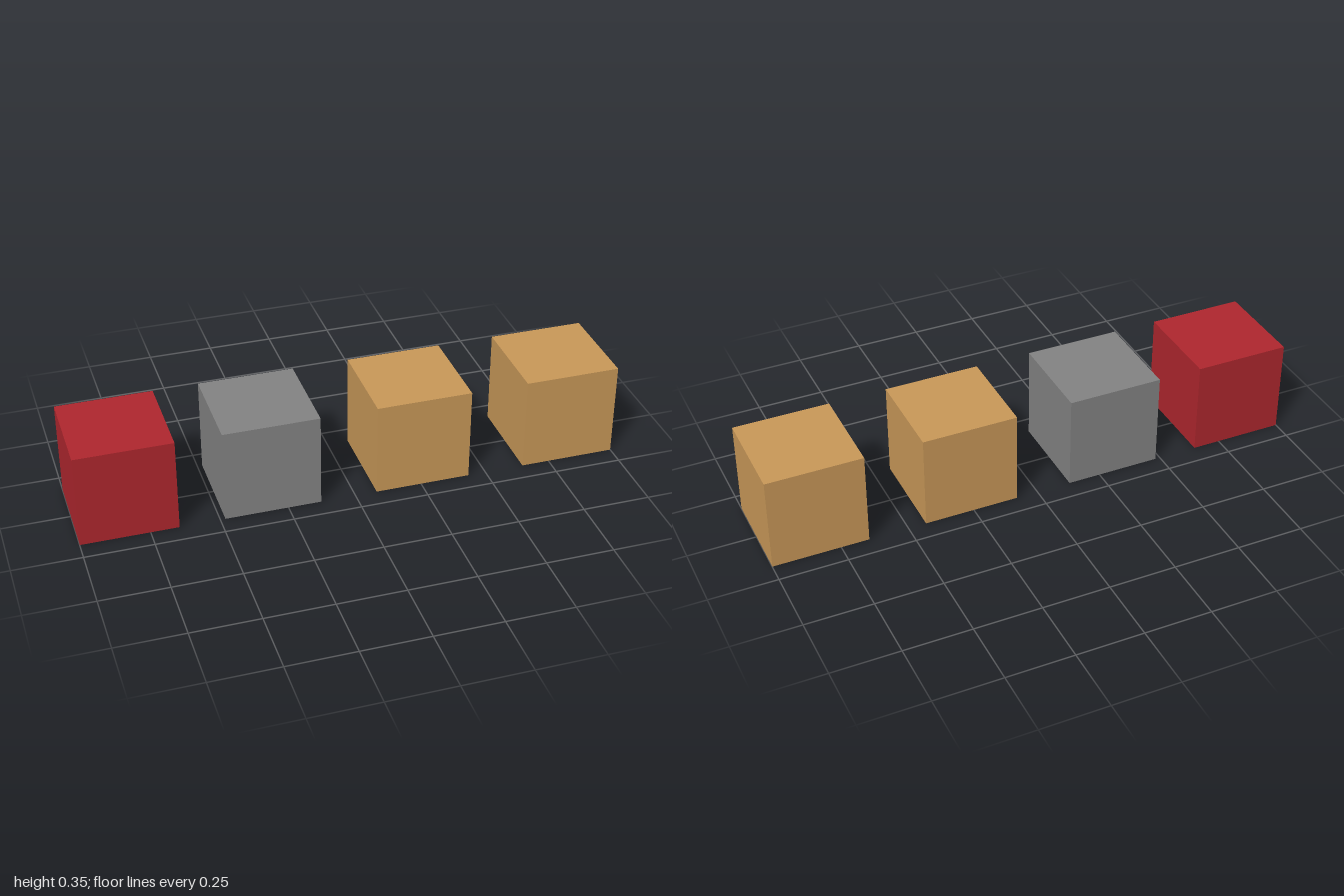
import * as THREE from 'three';

const SIZE = 0.353;

// Row of equal cubes: name, centre x, colour
const CUBES = [
  ['redCube', -0.823, 0xb0272e],
  ['greyCube', -0.305, 0x848484],
  ['innerTanCube', 0.257, 0xca9959],
  ['outerTanCube', 0.823, 0xca9959],
];

export function createModel() {
  const group = new THREE.Group();
  group.name = 'cubeRow';
  const geometry = new THREE.BoxGeometry(SIZE, SIZE, SIZE);

  for (const [name, x, color] of CUBES) {
    const cube = new THREE.Mesh(geometry, new THREE.MeshStandardMaterial({ color }));
    cube.name = name;
    cube.position.set(x, SIZE / 2, 0);
    group.add(cube);
  }
  return group;
}
